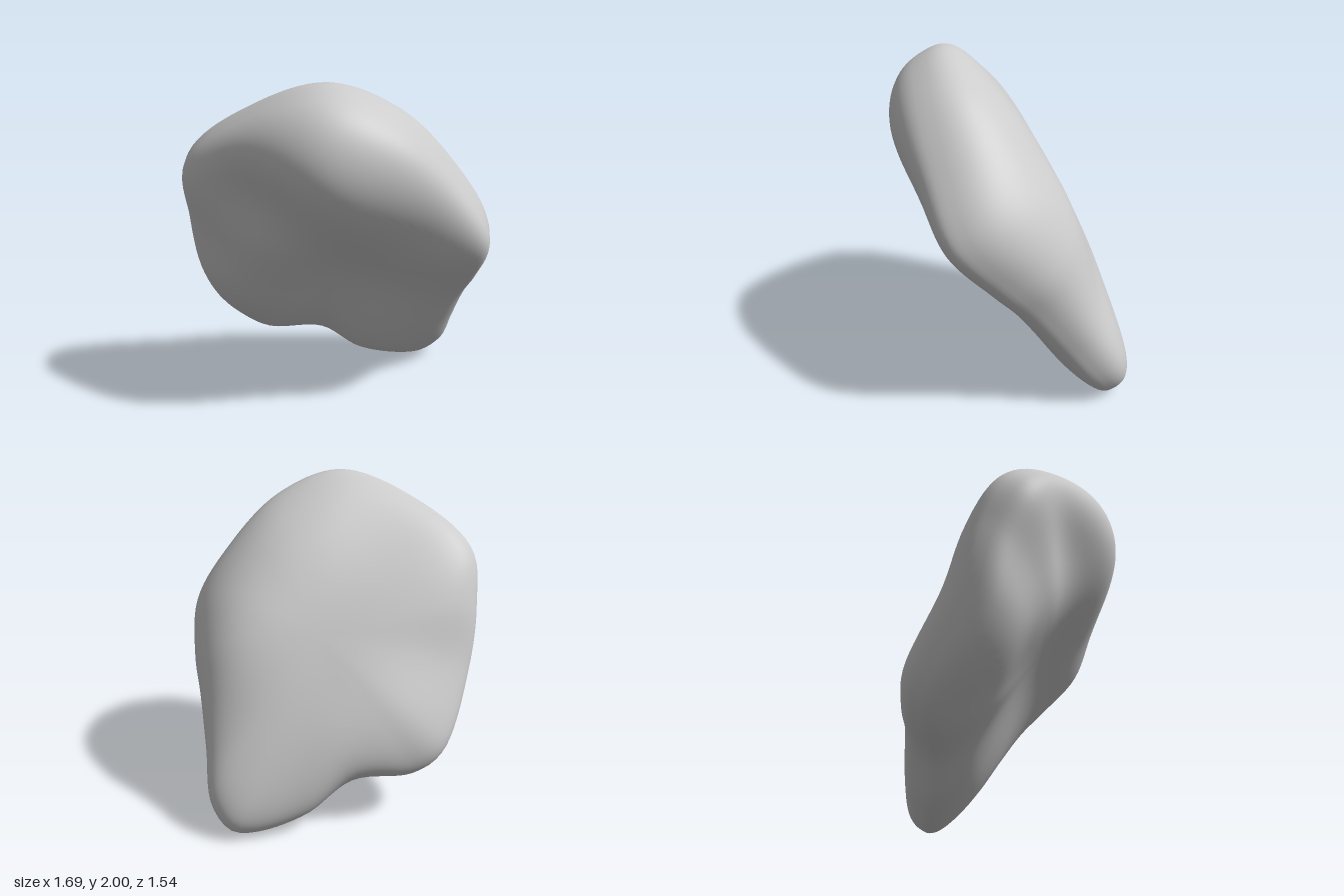
import * as THREE from 'three';

// Middle line of the slab's rounded rim, clockwise from the top as seen from the front
const RIM = [
  [0.15, 1.96, 0.53], [0.48, 1.8, 0.33], [0.71, 1.47, 0.1], [0.82, 1.16, -0.09],
  [0.68, 0.87, -0.3], [0.56, 0.69, -0.41], [0.42, 0.42, -0.55], [0.28, 0.15, -0.69],
  [0.14, 0.02, -0.69], [0.02, 0.01, -0.61], [-0.2, 0.1, -0.41], [-0.4, 0.3, -0.21],
  [-0.68, 0.32, 0.03], [-0.81, 0.45, 0.15], [-0.815, 0.9, 0.46], [-0.79, 1.25, 0.56],
  [-0.69, 1.55, 0.67], [-0.3, 1.82, 0.65],
];
const AROUND = 120, RINGS = 56;
const CENTRE = new THREE.Vector3(0, 1, 0.1);
const NORMAL = new THREE.Vector3(0.47, -0.63, 1).normalize();

// Soft round bump centred on (cx, cy)
const bump = (p, cx, cy, r) => Math.exp(-((p.x - cx) ** 2 + (p.y - cy) ** 2) / (r * r));

// Front thickness: full along the top, the left edge and the foot, hollowed across the face
function frontDepth(p) {
  const base = 0.25 + 0.08 * (p.y - 1) + 0.13 * bump(p, 0.1, 1.78, 0.48)
    + 0.12 * bump(p, -0.75, 0.78, 0.32) + 0.04 * bump(p, -0.15, 0.2, 0.25);
  return base * (1 - 0.32 * bump(p, 0.12, 0.85, 0.38) - 0.32 * bump(p, -0.32, 1.5, 0.27)
    + 0.12 * bump(p, -0.42, 1.15, 0.2));
}

// Back thickness: a broad swell, heaviest towards the upper left shoulder
const backDepth = (p) => 0.32 + 0.03 * p.x + 0.015 * Math.sin(4 * p.x + 3 * p.y)
  + 0.13 * bump(p, 0.42, 1.38, 0.55) + 0.1 * bump(p, 0.5, 0.85, 0.35) + 0.05 * bump(p, -0.4, 0.4, 0.35);

function slabGeometry() {
  const rim = new THREE.CatmullRomCurve3(RIM.map((p) => new THREE.Vector3(...p)), true);
  // Split each rim point into a spoke in the slab's plane and a lift off that plane
  const edge = rim.getSpacedPoints(AROUND).map((p) => {
    const spoke = p.sub(CENTRE), lift = spoke.dot(NORMAL);
    return { spoke: spoke.addScaledVector(NORMAL, -lift), lift };
  });
  const pos = [], index = [];

  // Rings run from the middle of the front, over the rim, to the middle of the back
  for (let i = 0; i <= RINGS; i++) {
    const a = (i / RINGS) * Math.PI;
    const pole = i === 0 || i === RINGS;
    const spread = pole ? 0 : Math.sin(a) ** 0.8;
    const c = Math.cos(a), h = Math.sign(c) * Math.abs(c) ** 0.75;
    for (let j = 0; j < (pole ? 1 : AROUND); j++) {
      const { spoke, lift } = edge[j];
      const p = CENTRE.clone().addScaledVector(spoke, spread).addScaledVector(NORMAL, lift * spread ** 3);
      p.addScaledVector(NORMAL, h * (h > 0 ? frontDepth(p) : backDepth(p)));
      pos.push(p.x, p.y, p.z);
    }
  }

  // Skin between the rings, closing to one point at each middle
  const id = (i, j) => (i === 0 ? 0 : i === RINGS ? 1 + (RINGS - 1) * AROUND
    : 1 + (i - 1) * AROUND + (j % AROUND));
  for (let i = 0; i < RINGS; i++) {
    for (let j = 0; j < AROUND; j++) {
      const a = id(i, j), b = id(i, j + 1), c = id(i + 1, j), d = id(i + 1, j + 1);
      if (i > 0) index.push(a, b, c);
      if (i < RINGS - 1) index.push(b, d, c);
    }
  }
  const geo = new THREE.BufferGeometry();
  geo.setAttribute('position', new THREE.Float32BufferAttribute(pos, 3));
  geo.setIndex(index);
  geo.computeVertexNormals();
  return geo;
}

export function createModel() {
  const group = new THREE.Group();
  group.name = 'rock';
  const slab = new THREE.Mesh(slabGeometry(), new THREE.MeshStandardMaterial({ color: 0xcccccc }));
  slab.name = 'stoneSlab';
  group.add(slab);
  return group;
}
